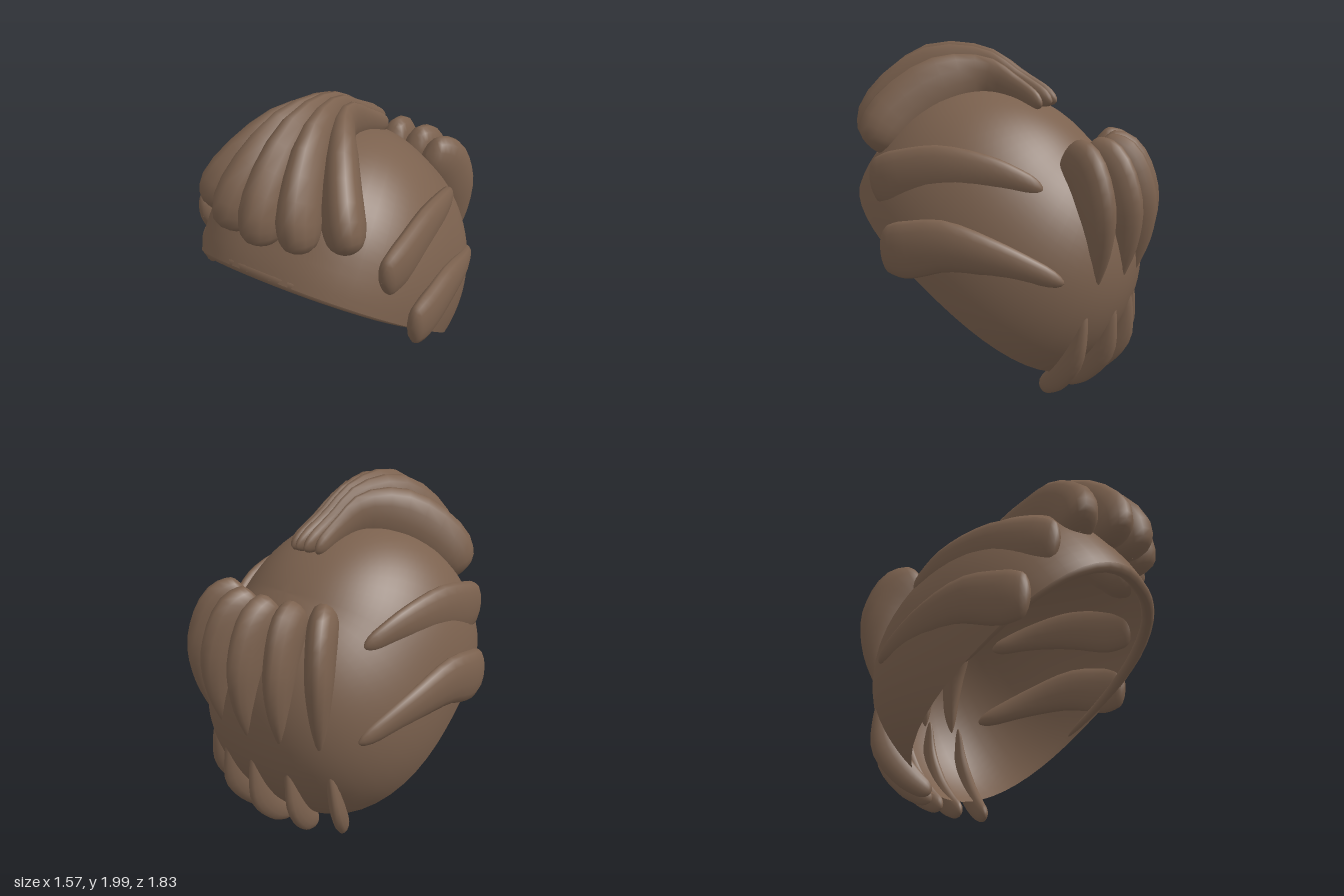
import * as THREE from 'three';
import { mergeVertices } from 'three/addons/utils/BufferGeometryUtils.js';

const CENTRE = new THREE.Vector3(0, 0.85, 0);
const TILT = -0.69, CAP_Y = 0.825, CAP_Z = 0.042;

// Rounded lock: elliptical sections [width, depth] lofted along a curve.
// Depth faces away from the head's centre, or straight sideways when upright is set.
function lockGeometry(points, sizes, { cap = 0.08, rows = 22, sides = 14, upright = false } = {}) {
  const path = new THREE.CatmullRomCurve3(points.map(p => new THREE.Vector3(...p)));
  const radii = new THREE.CatmullRomCurve3(sizes.map(s => new THREE.Vector3(s[0], s[1], 0)));
  const pos = [], index = [];
  for (let i = 0; i <= rows; i++) {
    const u = (1 - Math.cos(Math.PI * i / rows)) / 2;
    const e = Math.min(1, Math.min(u, 1 - u) / cap);
    const f = Math.max(0.02, Math.sqrt(1 - (1 - e) ** 2));
    const p = path.getPoint(u), t = path.getTangent(u), r = radii.getPoint(u);
    const away = upright ? new THREE.Vector3(Math.sign(p.x), 0, 0) : p.clone().sub(CENTRE);
    const side = new THREE.Vector3().crossVectors(t, away).normalize();
    const out = new THREE.Vector3().crossVectors(side, t).normalize();
    for (let j = 0; j < sides; j++) {
      const a = 2 * Math.PI * j / sides;
      const v = p.clone().addScaledVector(side, r.x * f * Math.cos(a)).addScaledVector(out, r.y * f * Math.sin(a));
      pos.push(v.x, v.y, v.z);
      if (i < rows) {
        const A = i * sides + j, B = i * sides + (j + 1) % sides;
        index.push(A, A + sides, B, B, A + sides, B + sides);
      }
    }
  }
  const g = new THREE.BufferGeometry();
  g.setAttribute('position', new THREE.Float32BufferAttribute(pos, 3));
  g.setIndex(index);
  g.computeVertexNormals();
  return g;
}

// Factor that turns a circle into a squarish outline
const squarish = (c, s) => (Math.abs(c) ** 2.45 + Math.abs(s) ** 2.45) ** (-1 / 2.45);

// Open cap: a squarish ellipsoid cut by a plane, fuller above the forehead, tilted backwards
function capGeometry() {
  let g = new THREE.SphereGeometry(1, 56, 28, 0, Math.PI * 2, 0, 1.817);
  g.deleteAttribute('uv');
  g.deleteAttribute('normal');
  const p = g.attributes.position;
  for (let i = 0; i < p.count; i++) {
    const x = p.getX(i), y = p.getY(i), z = p.getZ(i), r = Math.hypot(x, z);
    const k = r < 1e-6 ? 1 : squarish(x / r, z / r);
    const full = 1 + 0.13 * Math.max(0, y) * Math.max(0, z);
    p.setXYZ(i, x * k * 0.73, y * 0.83 * full, z * k * 0.89 * full);
  }
  g = mergeVertices(g);
  g.rotateX(TILT).translate(0, CAP_Y, CAP_Z);
  g.computeVertexNormals();
  return g;
}

export function createModel() {
  const model = new THREE.Group();
  const hair = new THREE.MeshStandardMaterial({ color: 0x7b614e, side: THREE.DoubleSide });
  hair.name = 'brownHair';
  const add = (name, geometry) => {
    const m = new THREE.Mesh(geometry, hair);
    m.name = name;
    model.add(m);
  };

  add('hairCap', capGeometry());

  // Thick rolled edge over the forehead
  const rim = [];
  for (let i = 0; i <= 12; i++) {
    const a = Math.PI * (i / 12 * 1.1 - 0.05);
    const c = Math.cos(a), s = Math.sin(a), k = squarish(c, s);
    const v = new THREE.Vector3(0.68 * c * k, -0.18, 0.83 * s * k).applyAxisAngle(new THREE.Vector3(1, 0, 0), TILT);
    rim.push([v.x, v.y + CAP_Y, v.z + CAP_Z]);
  }
  add('browRim', lockGeometry(rim, [[0.015, 0.02], [0.04, 0.035], [0.045, 0.04], [0.04, 0.035], [0.015, 0.02]],
    { cap: 0.05, rows: 40, sides: 10 }));

  // Five crest locks fanning forward over the forehead
  const midY = [1.67, 1.77, 1.85, 1.8, 1.58, 1.39], midZ = [-0.34, -0.1, 0.15, 0.48, 0.73, 0.78];
  const outX = [0.09, 0.075, 0.085, 0.2, 0.35, 0.42], outZ = [-0.28, -0.1, 0.1, 0.34, 0.56, 0.62];
  const outY = [1.65, 1.735, 1.79, 1.73, 1.54, 1.38];
  const skew = [0.04, 0.015, 0, 0, 0, 0];
  for (let i = -2; i <= 2; i++) {
    const k = i * i / 4;
    const pts = midY.map((y, n) => [outX[n] * i / 2 + skew[n], y + (outY[n] - y) * k, midZ[n] + (outZ[n] - midZ[n]) * k]);
    add('crestLock', lockGeometry(pts, [[0.03, 0.05], [0.035, 0.08], [0.055, 0.14], [0.095, 0.19], [0.115, 0.18], [0.085, 0.11]]));
  }

  // Two swept locks on each side
  const upper = [[0.59, 1.235, 0.57], [0.605, 1.265, 0.4], [0.6, 1.32, 0.15], [0.565, 1.31, -0.15], [0.49, 1.235, -0.41]];
  const lower = [[0.71, 0.89, 0.45], [0.725, 0.9, 0.3], [0.725, 0.94, 0.08], [0.685, 0.885, -0.22], [0.58, 0.76, -0.56]];
  const sideSizes = [[0.12, 0.045], [0.16, 0.06], [0.145, 0.06], [0.1, 0.05], [0.045, 0.035]];
  for (const s of [1, -1]) {
    const place = pts => lockGeometry(pts.map(([x, y, z]) => [x * s, y, z]), sideSizes, { upright: true });
    const name = s > 0 ? 'left' : 'right';
    add(name + 'UpperSideLock', place(upper));
    add(name + 'LowerSideLock', place(lower));
  }

  // Two rows of five locks spread around the back: [radius, height], sizes, angle step, extra spread downwards
  const rows = [
    ['backUpperLock', [[0.56, 1.4], [0.69, 1.325], [0.785, 1.13], [0.805, 0.92], [0.77, 0.65]],
      [[0.07, 0.11], [0.083, 0.16], [0.078, 0.145], [0.055, 0.1], [0.01, 0.02]], 0.272, 0],
    ['backLowerLock', [[0.75, 0.68], [0.755, 0.47], [0.715, 0.29], [0.6, 0.14], [0.47, 0.045]],
      [[0.01, 0.02], [0.033, 0.055], [0.042, 0.085], [0.04, 0.075], [0.028, 0.045]], 0.295, 0.06],
  ];
  for (const [name, profile, sizes, step, spread] of rows) {
    for (let i = -2; i <= 2; i++) {
      const pts = profile.map(([r, y], n) => {
        const a = i * step * (1 + spread * n);
        return [r * Math.sin(a), y, -r * Math.cos(a)];
      });
      add(name, lockGeometry(pts, sizes));
    }
  }

  // Rest the lowest tips on the ground
  const lift = new THREE.Box3().setFromObject(model, true).min.y;
  for (const m of model.children) m.geometry.translate(0, -lift, 0);
  return model;
}
